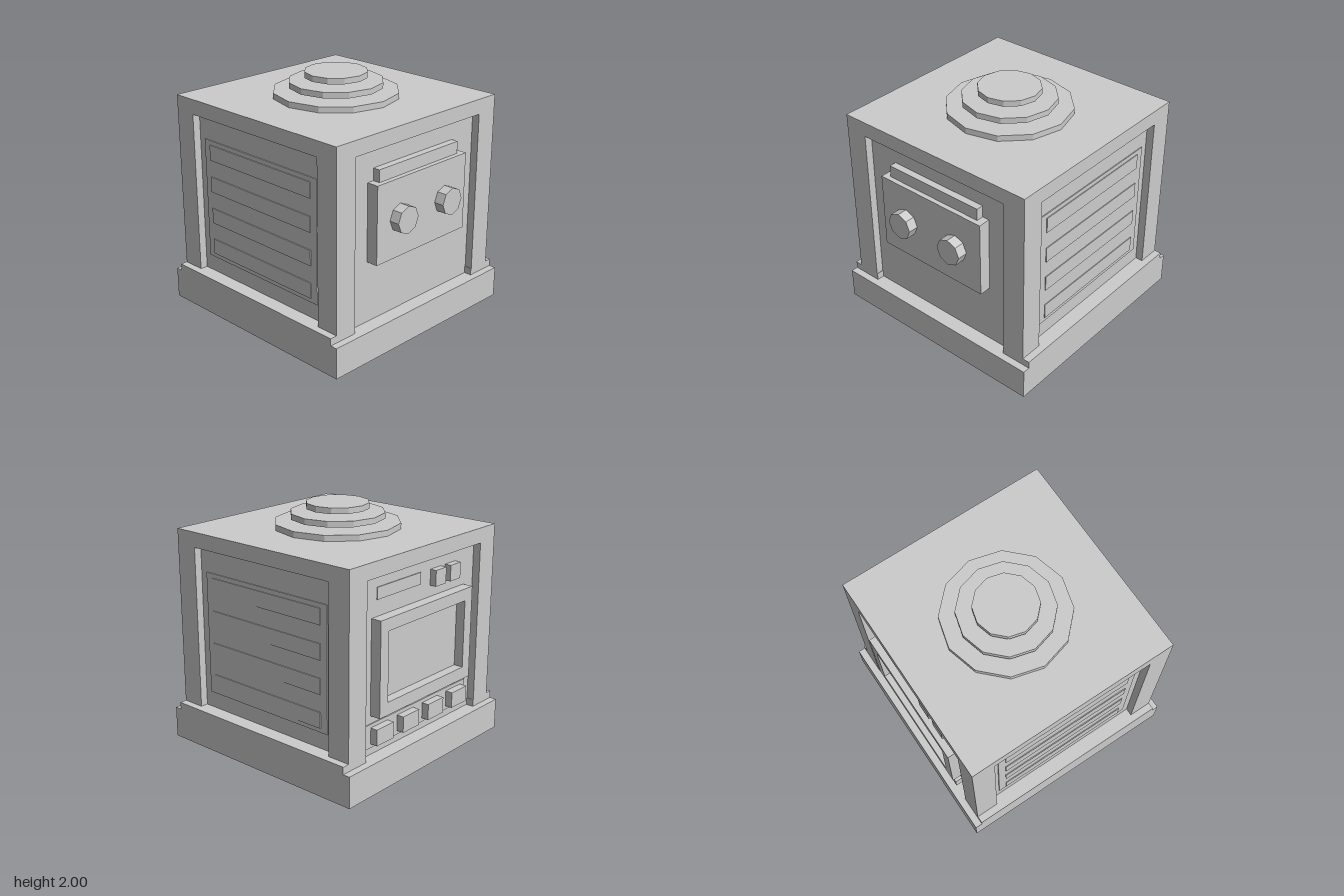
import * as THREE from 'three';

export function createModel() {
  const root = new THREE.Group();
  root.name = 'cabinetModel';
  const grey = new THREE.MeshStandardMaterial({ color: 0xcccccc });
  grey.name = 'plainGrey';

  // Everything but the base ledges is laid out about the cabinet's own axis
  const model = new THREE.Group();
  model.name = 'cabinet';
  model.position.z = -0.03;
  root.add(model);

  const add = (name, geometry, parent = model) => {
    const mesh = new THREE.Mesh(geometry, grey);
    mesh.name = name;
    parent.add(mesh);
    return mesh;
  };
  // Box given by its limits on each axis
  const box = (name, [x0, x1], [y0, y1], [z0, z1], parent) => {
    const mesh = add(name, new THREE.BoxGeometry(x1 - x0, y1 - y0, z1 - z0), parent);
    mesh.position.set((x0 + x1) / 2, (y0 + y1) / 2, (z0 + z1) / 2);
    return mesh;
  };
  const rect = (path, x0, x1, y0, y1) =>
    path.moveTo(x0, y0).lineTo(x1, y0).lineTo(x1, y1).lineTo(x0, y1).closePath();

  const OUT = 0.9, IN = 0.835, OPEN = 0.705;

  // Base with raised side ledges
  box('base', [-0.96, 0.96], [0, 0.26], [-0.96, 0.96]);
  for (const s of [-1, 1]) {
    const ledge = box('sideLedge', [-0.13, 0.13], [0.26, 0.32], [-OUT, OUT]);
    ledge.position.x = s * 0.83;
    ledge.scale.z = 1;
  }
  // Ledges end flush with the posts, so the front recess stays open between them
  box('core', [-IN, IN], [0.26, 1.8], [-IN, IN]);

  // Arch-shaped frame around the recess on each of the four sides
  const archFrame = (half) => {
    const shape = new THREE.Shape();
    shape.moveTo(-half, 0.26).lineTo(-OPEN, 0.26).lineTo(-OPEN, 1.675).lineTo(OPEN, 1.675)
      .lineTo(OPEN, 0.26).lineTo(half, 0.26).lineTo(half, 1.8).lineTo(-half, 1.8).closePath();
    return new THREE.ExtrudeGeometry(shape, { depth: OUT - IN, bevelEnabled: false });
  };
  const sides = ['front', 'left', 'back', 'right'].map((label, i) => {
    const side = new THREE.Group();
    side.name = label + 'Side';
    side.rotation.y = i * Math.PI / 2;
    model.add(side);
    add(label + 'Frame', archFrame(i % 2 ? IN : OUT), side).position.z = IN;
    return side;
  });
  const [front, left, back, right] = sides;

  // Front: control plate, top strip and two octagonal knobs
  box('controlPlate', [-0.51, 0.51], [0.77, 1.41], [IN, 0.935], front);
  box('controlStrip', [-0.45, 0.45], [1.41, 1.51], [IN, 0.895], front);
  for (const s of [-1, 1]) {
    const knob = add('knob', new THREE.CylinderGeometry(0.113, 0.113, 0.085, 8).toNonIndexed(), front);
    knob.geometry.computeVertexNormals();
    knob.rotation.x = Math.PI / 2;
    knob.position.set(s * 0.257, 1.092, 0.9775);
  }

  // Left and right: vent panel with four thin slats
  for (const side of [left, right]) {
    box('ventPanel', [-0.64, 0.64], [0.455, 1.475], [IN, 0.843], side);
    for (let i = 0; i < 4; i++) {
      const y = 0.49 + i * 0.273;
      box('ventSlat', [-0.575, 0.575], [y, y + 0.13], [0.843, 0.85], side);
    }
  }

  // Back: framed screen (local +x here is the model's -x)
  const frame = new THREE.Shape();
  rect(frame, -0.577, 0.577, 0.58, 1.35);
  const opening = new THREE.Path();
  rect(opening, -0.482, 0.482, 0.685, 1.25);
  frame.holes.push(opening);
  add('screenFrame', new THREE.ExtrudeGeometry(frame, { depth: 0.09, bevelEnabled: false }), back)
    .position.z = IN;
  box('screen', [-0.482, 0.482], [0.685, 1.25], [IN, 0.845], back);

  // Back: slot plate, two small keys and a row of four buttons
  box('slotPlate', [-0.52, 0], [1.48, 1.575], [IN, 0.843], back);
  for (const x of [0.195, 0.386])
    box('smallKey', [x - 0.066, x + 0.066], [1.44, 1.57], [IN, 0.89], back);
  box('buttonPanel', [-0.64, 0.64], [0.32, 0.515], [IN, 0.843], back);
  for (let i = 0; i < 4; i++) {
    const x = -0.48 + i * 0.32;
    box('button', [x - 0.1, x + 0.1], [0.352, 0.485], [0.843, 0.905], back);
  }

  // Stack of three floating twelve-sided discs on the roof
  [[0.513, 1.8], [0.385, 1.877], [0.257, 1.953]].forEach(([r, y]) => {
    const disc = add('roofDisc', new THREE.CylinderGeometry(r, r, 0.048, 12).toNonIndexed());
    disc.geometry.computeVertexNormals();
    disc.position.y = y + 0.024;
  });

  return root;
}
